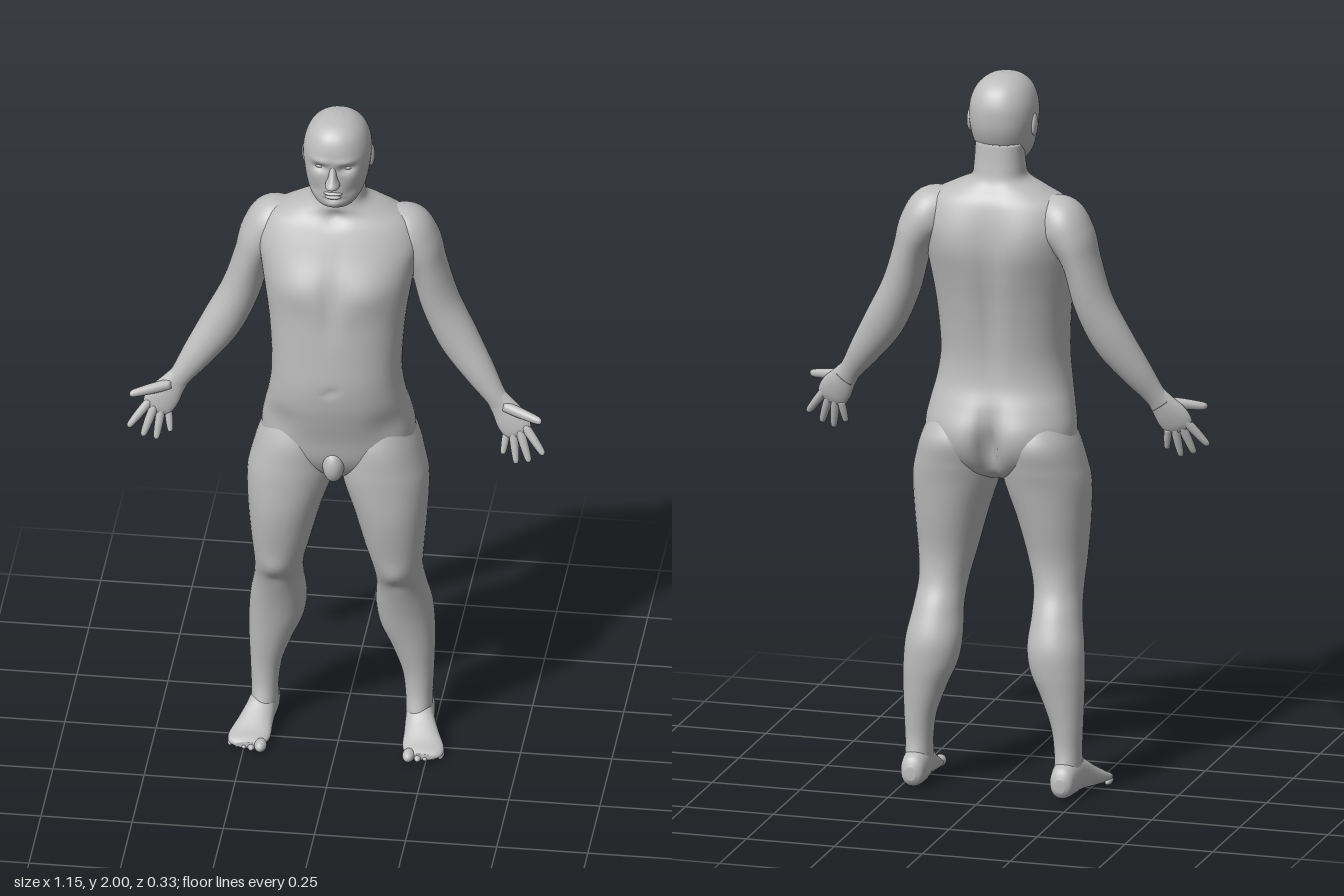
import * as THREE from 'three';

const skin = new THREE.MeshStandardMaterial({ color: 0xbdbdbd });
skin.name = 'grey clay';

// Catmull-Rom blend of whole section rows
function blend(rows, t) {
  const last = rows.length - 1;
  const i = Math.min(Math.floor(t), last - 1), f = t - i;
  const row = (k) => rows[Math.max(0, Math.min(last, k))];
  const [p, q, r, s] = [row(i - 1), row(i), row(i + 1), row(i + 2)];
  return q.map((v, k) => v + 0.5 * f * (r[k] - p[k]
    + f * (2 * p[k] - 5 * v + 4 * r[k] - s[k] + f * (3 * (v - r[k]) + s[k] - p[k]))));
}

// Closed skin through sections [x, y, z, halfWidth, halfDepth].
// frame: 'level' rings lie flat (path runs down), 'forward' rings face z,
// 'follow' rings turn with a path in the xy plane.
// bumps: [x, y, rx, ry, amount, side], side +1 front, -1 back, same on both halves.
function loft(rows, { frame = 'level', sides = 32, steps = 6, power = 2, bumps = [] } = {}) {
  const pos = [], index = [], n = (rows.length - 1) * steps;
  const round = (v) => Math.sign(v) * Math.abs(v) ** (2 / power);
  for (let i = 0; i <= n; i++) {
    const t = i / steps, [x, y, z, a, b] = blend(rows, t);
    let u = [1, 0, 0], v = [0, 0, 1];
    if (frame === 'forward') v = [0, 1, 0];
    if (frame === 'follow') {
      const p = blend(rows, Math.max(0, t - 0.1)), q = blend(rows, Math.min(rows.length - 1, t + 0.1));
      const dx = q[0] - p[0], dy = q[1] - p[1], len = Math.hypot(dx, dy);
      u = [-dy / len, dx / len, 0];
    }
    for (let j = 0; j < sides; j++) {
      const ang = (j / sides) * Math.PI * 2, c = round(Math.cos(ang)) * a, s = round(Math.sin(ang)) * b;
      const pt = [x, y, z].map((o, k) => o + u[k] * c + v[k] * s);
      let dz = 0;
      for (const [bx, by, rx, ry, amount, side] of bumps) {
        const facing = Math.max(0, Math.sin(ang) * side);
        dz += side * amount * facing * Math.exp(-(((Math.abs(pt[0]) - bx) / rx) ** 2) - ((pt[1] - by) / ry) ** 2);
      }
      pos.push(pt[0], pt[1], pt[2] + dz);
    }
  }
  for (let i = 0; i < n; i++) for (let j = 0; j < sides; j++) {
    const k = (j + 1) % sides, a = i * sides + j, b = i * sides + k;
    index.push(a, b, b + sides, a, b + sides, a + sides);
  }
  // End caps
  const top = pos.length / 3, end = n * sides;
  pos.push(...rows[0].slice(0, 3), ...rows[rows.length - 1].slice(0, 3));
  for (let j = 0; j < sides; j++) {
    const k = (j + 1) % sides;
    index.push(top, k, j, top + 1, end + j, end + k);
  }
  const geo = new THREE.BufferGeometry();
  geo.setAttribute('position', new THREE.Float32BufferAttribute(pos, 3));
  geo.setIndex(index);
  geo.computeVertexNormals();
  return geo;
}

// Level section from its limits: [y, xInner, xOuter, zBack, zFront]
const span = ([y, x0, x1, zb, zf]) => [(x0 + x1) / 2, y, (zb + zf) / 2, (x1 - x0) / 2, (zf - zb) / 2];
// Centred level section: [y, halfWidth, zBack, zFront]
const centred = ([y, w, zb, zf]) => span([y, -w, w, zb, zf]);

const ball = (x, y, z, rx, ry, rz) =>
  new THREE.SphereGeometry(1, 24, 16).scale(rx, ry, rz).translate(x, y, z);

function mirror(geo) {
  const g = geo.clone().scale(-1, 1, 1), ix = g.index.array;
  for (let i = 0; i < ix.length; i += 3) [ix[i], ix[i + 1]] = [ix[i + 1], ix[i]];
  g.computeVertexNormals();
  return g;
}

export function createModel() {
  const model = new THREE.Group();
  model.name = 'standingFigure';
  const add = (name, geo) => {
    const mesh = new THREE.Mesh(geo, skin);
    mesh.name = name;
    model.add(mesh);
  };
  const pair = (name, geo) => {
    add('left' + name, geo);
    add('right' + name, mirror(geo));
  };

  // Neck, chest, waist and pelvis
  add('torso', loft([
    [1.82, 0.066, -0.085, 0.03], [1.76, 0.07, -0.092, 0.042], [1.722, 0.08, -0.1, 0.052],
    [1.695, 0.135, -0.115, 0.055], [1.66, 0.195, -0.135, 0.075], [1.6, 0.222, -0.15, 0.105],
    [1.53, 0.212, -0.156, 0.138], [1.46, 0.2, -0.148, 0.155], [1.38, 0.188, -0.133, 0.16],
    [1.29, 0.18, -0.118, 0.165], [1.21, 0.178, -0.11, 0.168], [1.14, 0.187, -0.115, 0.16],
    [1.08, 0.2, -0.135, 0.145], [1.02, 0.21, -0.148, 0.128], [0.95, 0.205, -0.14, 0.112],
    [0.9, 0.15, -0.11, 0.085], [0.87, 0.07, -0.06, 0.05],
  ].map(centred), {
    sides: 64, power: 2.25, bumps: [
      [0.1, 1.5, 0.07, 0.05, 0.012, 1], [0, 1.48, 0.02, 0.1, -0.012, 1],
      [0, 1.69, 0.025, 0.02, -0.012, 1], [0, 1.2, 0.012, 0.012, -0.008, 1],
      [0.16, 1.07, 0.05, 0.05, -0.015, 1], [0.11, 1.56, 0.06, 0.09, 0.012, -1],
      [0, 1.4, 0.03, 0.22, -0.016, -1], [0.09, 1, 0.07, 0.07, 0.016, -1],
      [0, 0.97, 0.022, 0.085, -0.055, -1],
    ],
  }));
  add('groin', ball(0, 0.935, 0.1, 0.03, 0.05, 0.034));

  // Head with eye sockets, brow, cheeks and mouth
  add('head', loft([
    [2, 0.012, 0, 0.03], [1.991, 0.045, -0.04, 0.075], [1.967, 0.073, -0.073, 0.106],
    [1.93, 0.089, -0.091, 0.12], [1.89, 0.093, -0.094, 0.122], [1.85, 0.089, -0.088, 0.118],
    [1.81, 0.081, -0.07, 0.116], [1.78, 0.069, -0.04, 0.113], [1.755, 0.048, 0, 0.102],
    [1.745, 0.02, 0.03, 0.075],
  ].map(centred), {
    sides: 64, steps: 8, power: 2.2, bumps: [
      [0.037, 1.882, 0.02, 0.012, -0.016, 1], [0.035, 1.906, 0.03, 0.009, 0.005, 1],
      [0.055, 1.85, 0.02, 0.018, 0.004, 1], [0.05, 1.805, 0.018, 0.02, -0.006, 1],
      [0, 1.785, 0.03, 0.006, -0.004, 1], [0, 1.768, 0.02, 0.012, 0.006, 1],
    ],
  }));
  add('nose', loft([
    [1.9, 0.008, 0.09, 0.118], [1.88, 0.01, 0.09, 0.127], [1.858, 0.013, 0.09, 0.143],
    [1.84, 0.02, 0.09, 0.155], [1.83, 0.018, 0.09, 0.143], [1.825, 0.008, 0.09, 0.125],
  ].map(centred), { sides: 20 }));
  add('upperLip', ball(0, 1.804, 0.112, 0.026, 0.006, 0.01));
  add('lowerLip', ball(0, 1.793, 0.11, 0.023, 0.007, 0.011));
  pair('Eye', ball(0.037, 1.882, 0.093, 0.015, 0.009, 0.011));
  pair('Ear', ball(0.091, 1.866, -0.002, 0.009, 0.032, 0.019).rotateX(0));

  // Arm from inside the shoulder to the wrist
  pair('Arm', loft([
    [0.12, 1.645, -0.045, 0.04, 0.045], [0.175, 1.618, -0.05, 0.07, 0.078],
    [0.215, 1.568, -0.052, 0.063, 0.083], [0.242, 1.5, -0.052, 0.051, 0.075],
    [0.274, 1.39, -0.05, 0.054, 0.062], [0.325, 1.285, -0.038, 0.056, 0.052],
    [0.385, 1.195, -0.018, 0.044, 0.04], [0.432, 1.128, 0, 0.031, 0.025],
    [0.452, 1.1, 0.006, 0.033, 0.02],
  ], { frame: 'follow', sides: 40 }));
  pair('Palm', loft([
    [0.425, 1.138, 0, 0.028, 0.022], [0.452, 1.102, 0.007, 0.036, 0.02],
    [0.475, 1.07, 0.015, 0.045, 0.019], [0.493, 1.042, 0.022, 0.043, 0.015],
    [0.502, 1.026, 0.026, 0.03, 0.008],
  ], { frame: 'follow', sides: 28 }));

  // Fingers: base, tip, radius
  const fingers = {
    Thumb: [[0.455, 1.107, 0.015], [0.565, 1.09, 0.058], 0.015],
    IndexFinger: [[0.512, 1.056, 0.022], [0.57, 0.982, 0.05], 0.0125],
    MiddleFinger: [[0.499, 1.045, 0.024], [0.53, 0.956, 0.05], 0.0125],
    RingFinger: [[0.482, 1.035, 0.022], [0.494, 0.946, 0.045], 0.012],
    LittleFinger: [[0.464, 1.026, 0.018], [0.456, 0.967, 0.035], 0.0105],
  };
  for (const [name, [base, tip, r]] of Object.entries(fingers)) {
    const rows = [[0, 1], [0.4, 1], [0.75, 0.85], [0.94, 0.65], [1, 0.2]].map(([t, k]) =>
      [...base.map((v, i) => v + (tip[i] - v) * t), r * k, r * k]);
    pair(name, loft(rows, { frame: 'follow', sides: 14, steps: 4 }));
  }

  // Leg from inside the hip to the ankle
  pair('Leg', loft([
    [1.06, 0.04, 0.18, -0.11, 0.09], [0.99, 0.012, 0.216, -0.148, 0.115],
    [0.92, 0.006, 0.238, -0.138, 0.12], [0.86, 0.012, 0.249, -0.124, 0.12],
    [0.76, 0.045, 0.246, -0.105, 0.115], [0.65, 0.075, 0.237, -0.085, 0.095],
    [0.57, 0.095, 0.231, -0.092, 0.073], [0.5, 0.1, 0.236, -0.122, 0.038],
    [0.42, 0.095, 0.25, -0.15, 0.01], [0.35, 0.105, 0.255, -0.151, -0.008],
    [0.28, 0.135, 0.255, -0.143, -0.022], [0.2, 0.164, 0.252, -0.134, -0.034],
    [0.13, 0.174, 0.249, -0.13, -0.034], [0.07, 0.176, 0.248, -0.142, -0.02],
    [0.03, 0.182, 0.244, -0.15, -0.03],
  ].map(span), {
    sides: 44, power: 2.1, bumps: [[0.165, 0.575, 0.035, 0.035, 0.008, 1], [0.165, 0.53, 0.03, 0.02, -0.005, 1]],
  }));

  // Foot from heel to ball, then the toes
  pair('Foot', loft([
    [0.212, 0.045, -0.166, 0.014, 0.018], [0.212, 0.05, -0.15, 0.032, 0.042],
    [0.213, 0.056, -0.1, 0.039, 0.053], [0.219, 0.053, -0.045, 0.041, 0.049],
    [0.229, 0.037, 0, 0.049, 0.035], [0.238, 0.024, 0.04, 0.057, 0.022],
    [0.242, 0.018, 0.07, 0.05, 0.015], [0.24, 0.016, 0.085, 0.03, 0.009],
  ], { frame: 'forward', sides: 32, power: 2.2 }));
  for (let i = 0; i < 5; i++) {
    const r = i ? 0.0115 - i * 0.0006 : 0.017;
    pair('Toe' + (i + 1), ball(0.203 + i * 0.02 + (i ? 0.005 : 0), r, 0.08 - i * 0.008, r, r, 0.026));
  }
  return model;
}
